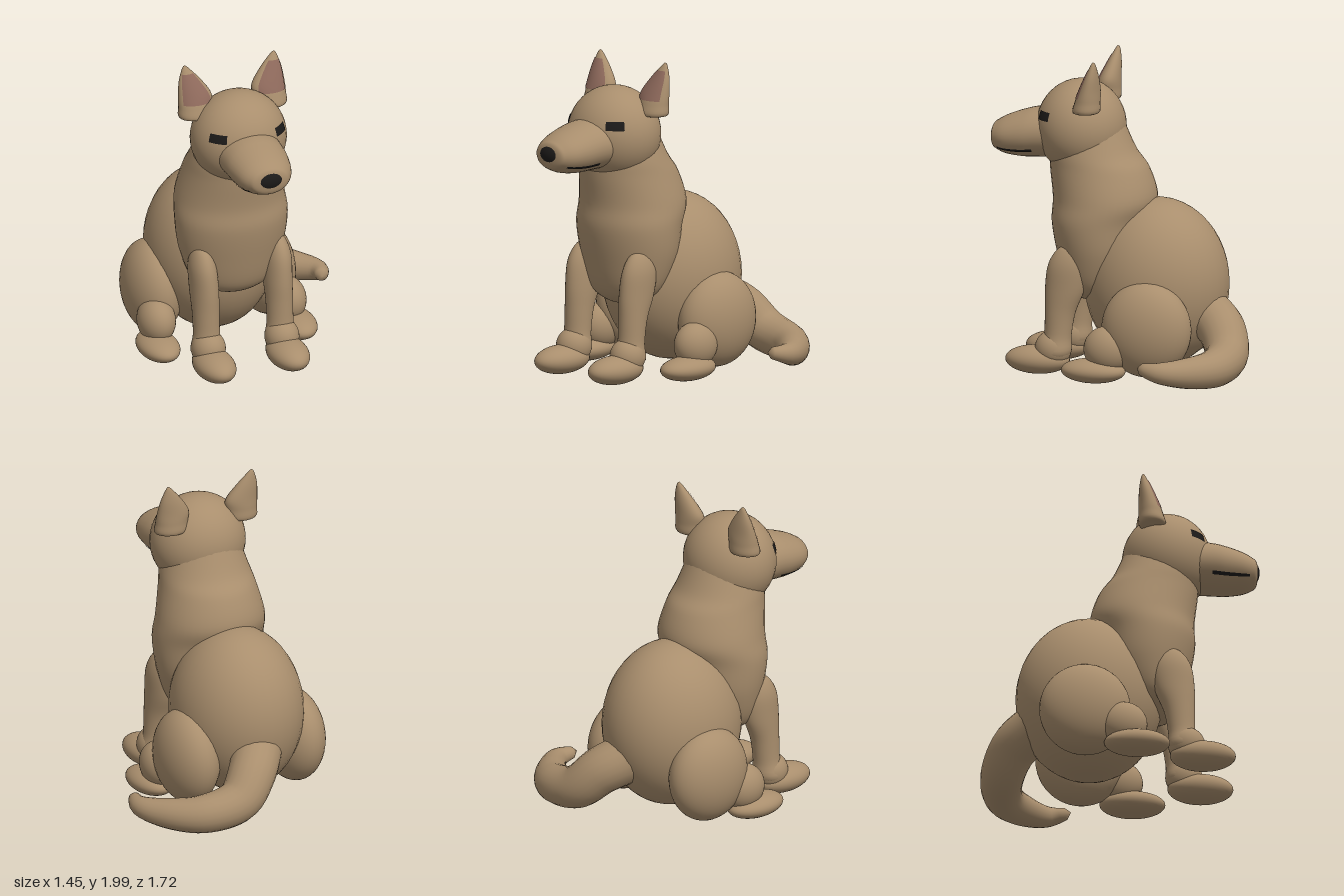
import * as THREE from 'three';
import { mergeVertices } from 'three/addons/utils/BufferGeometryUtils.js';

const CX = -0.143; // the dog's own midline; the tail takes up the other side
const mat = (color) => new THREE.MeshStandardMaterial({ color, roughness: 0.9 });
const fur = mat(0xa98e6d), dark = mat(0x1c1a19), pink = mat(0x8f6a5c);

// Smooth skin through elliptical rings [x, y, z, ra, rb] stacked along 'y' or 'z'.
// t0..t1 and a0..a1 pick out a patch of the skin; grow lifts it off the surface.
function loft(rings, axis, { t0 = 0, t1 = 1, a0 = 0, a1 = Math.PI * 2, grow = 0, nt = 32, na = 32 } = {}) {
  const curve = (f) => new THREE.CatmullRomCurve3(rings.map(f), false, 'catmullrom', 0.5);
  const mid = curve((r) => new THREE.Vector3(r[0], r[1], r[2]));
  const rad = curve((r) => new THREE.Vector3(r[3], r[4], 0));
  const pos = [], idx = [];
  for (let i = 0; i <= nt; i++) {
    const t = t0 + ((t1 - t0) * i) / nt;
    const c = mid.getPoint(t), r = rad.getPoint(t);
    for (let j = 0; j <= na; j++) {
      const a = a0 + ((a1 - a0) * j) / na;
      const u = (Math.max(r.x, 0) + grow) * Math.cos(a), v = (Math.max(r.y, 0) + grow) * Math.sin(a);
      if (axis === 'y') pos.push(c.x + u, c.y, c.z - v);
      else pos.push(c.x + u, c.y + v, c.z);
      if (i < nt && j < na) {
        const k = i * (na + 1) + j, m = k + na + 1;
        idx.push(k, k + 1, m, k + 1, m + 1, m);
      }
    }
  }
  const g = new THREE.BufferGeometry();
  g.setAttribute('position', new THREE.Float32BufferAttribute(pos, 3));
  g.setIndex(idx);
  const merged = mergeVertices(g, 1e-5);
  merged.computeVertexNormals();
  return merged;
}

export function createModel() {
  const model = new THREE.Group();
  model.name = 'sittingDog';

  const add = (name, geometry, material = fur) => {
    const mesh = new THREE.Mesh(geometry, material);
    mesh.name = name;
    model.add(mesh);
    return mesh;
  };
  const ball = (name, x, y, z, rx, ry, rz, material = fur) => {
    const mesh = add(name, new THREE.SphereGeometry(1, 36, 24), material);
    mesh.position.set(x, y, z);
    mesh.scale.set(rx, ry, rz);
    return mesh;
  };

  // Haunches, chest with neck, and skull
  ball('haunches', CX, 0.58, -0.2, 0.41, 0.53, 0.455);
  add('chestAndNeck', loft([
    [CX, 0.45, 0.2, 0, 0],
    [CX, 0.47, 0.2, 0.13, 0.09],
    [CX, 0.55, 0.18, 0.26, 0.19],
    [CX, 0.75, 0.16, 0.335, 0.265],
    [CX, 0.95, 0.16, 0.36, 0.3],
    [CX, 1.1, 0.13, 0.345, 0.325],
    [CX, 1.28, 0.165, 0.305, 0.31],
    [CX, 1.4, 0.21, 0.278, 0.27],
    [CX, 1.6, 0.25, 0.22, 0.22],
  ], 'y', { nt: 48, na: 40 }));
  const head = [CX, 1.535, 0.285];
  const skull = [0.305, 0.3, 0.28];
  ball('head', ...head, ...skull);

  // Muzzle, nose and mouth
  const muzzle = [
    [CX, 1.5, 0.35, 0.21, 0.16],
    [CX, 1.49, 0.55, 0.203, 0.157],
    [CX, 1.477, 0.65, 0.195, 0.147],
    [CX, 1.465, 0.75, 0.172, 0.123],
    [CX, 1.46, 0.81, 0.138, 0.096],
    [CX, 1.46, 0.84, 0.1, 0.07],
    [CX, 1.462, 0.853, 0, 0],
  ];
  add('muzzle', loft(muzzle, 'z'));
  ball('nose', CX, 1.467, 0.79, 0.117, 0.08, 0.07, dark);

  for (const s of [1, -1]) {
    const side = s > 0 ? 'left' : 'right';
    const X = (offset) => CX + s * offset;
    // Angle range on a skin, mirrored for the right side
    const span = (a, b) => (s > 0 ? { a0: a, a1: b } : { a0: Math.PI - b, a1: Math.PI - a });

    add(side + 'Mouth', loft(muzzle, 'z', { t0: 0.18, t1: 0.62, ...span(-0.7, -0.56), grow: 0.004, nt: 12, na: 3 }), dark);

    // Eye: a patch lying on the skull
    const phi = s > 0 ? 2.16 : Math.PI - 2.58;
    const eye = add(side + 'Eye', new THREE.SphereGeometry(1.012, 8, 6, phi, 0.42, 1.17, 0.19), dark);
    eye.position.set(...head);
    eye.scale.set(...skull);

    // Ear with its pink inside facing forward
    const ear = [
      [X(0.25), 1.67, 0.185, 0, 0],
      [X(0.25), 1.672, 0.187, 0.1, 0.08],
      [X(0.247), 1.74, 0.178, 0.108, 0.078],
      [X(0.245), 1.81, 0.165, 0.107, 0.065],
      [X(0.27), 1.9, 0.145, 0.07, 0.042],
      [X(0.293), 1.98, 0.13, 0.02, 0.015],
      [X(0.296), 2.0, 0.13, 0, 0],
    ];
    add(side + 'Ear', loft(ear, 'y', { nt: 30, na: 24 }));
    add(side + 'InnerEar', loft(ear, 'y', { t0: 0.4, t1: 0.76, ...span(-2.4, -0.6), grow: 0.004, nt: 10, na: 10 }), pink);

    // Front leg and paw
    add(side + 'FrontLeg', loft([
      [X(0.25), 0.84, 0.28, 0, 0],
      [X(0.25), 0.8, 0.29, 0.05, 0.08],
      [X(0.25), 0.7, 0.305, 0.082, 0.125],
      [X(0.245), 0.55, 0.325, 0.088, 0.125],
      [X(0.245), 0.4, 0.355, 0.084, 0.096],
      [X(0.245), 0.25, 0.37, 0.085, 0.085],
      [X(0.247), 0.14, 0.385, 0.1, 0.095],
      [X(0.247), 0.06, 0.39, 0, 0],
    ].reverse(), 'y'));
    ball(side + 'FrontPaw', X(0.245), 0.098, 0.5, 0.125, 0.09, 0.205);
    ball(side + 'FrontWrist', X(0.245), 0.17, 0.4, 0.108, 0.115, 0.115);

    // Thigh, hock and hind paw
    ball(side + 'Thigh', X(0.375), 0.345, -0.235, 0.183, 0.3, 0.285);
    ball(side + 'Hock', X(0.435), 0.22, 0.0, 0.118, 0.145, 0.15);
    ball(side + 'HindPaw', X(0.457), 0.085, 0.085, 0.127, 0.077, 0.205);
  }

  // Tail: a tube along the ground whose radius tapers to the tip
  const path = new THREE.CatmullRomCurve3([
    [-0.12, 0.42, -0.5], [0.0, 0.33, -0.65], [0.14, 0.2, -0.725], [0.38, 0.15, -0.705],
    [0.56, 0.145, -0.57], [0.665, 0.16, -0.42], [0.64, 0.18, -0.285],
  ].map((p) => new THREE.Vector3(...p)));
  const radii = [0.16, 0.15, 0.137, 0.12, 0.095, 0.064, 0.03];
  const N = 36, M = 20;
  const tail = new THREE.TubeGeometry(path, N, 1, M);
  const p = tail.attributes.position, v = new THREE.Vector3();
  for (let i = 0; i <= N; i++) {
    const c = path.getPointAt(i / N);
    const f = path.getUtoTmapping(i / N) * (radii.length - 1);
    const k = Math.min(Math.floor(f), radii.length - 2);
    const r = i === N ? 0 : THREE.MathUtils.lerp(radii[k], radii[k + 1], f - k);
    for (let j = 0; j <= M; j++) {
      const n = i * (M + 1) + j;
      v.fromBufferAttribute(p, n).sub(c).multiplyScalar(r).add(c);
      p.setXYZ(n, v.x, v.y, v.z);
    }
  }
  tail.deleteAttribute('uv');
  tail.deleteAttribute('normal');
  const skin = mergeVertices(tail, 1e-5);
  skin.computeVertexNormals();
  add('tail', skin);

  return model;
}
